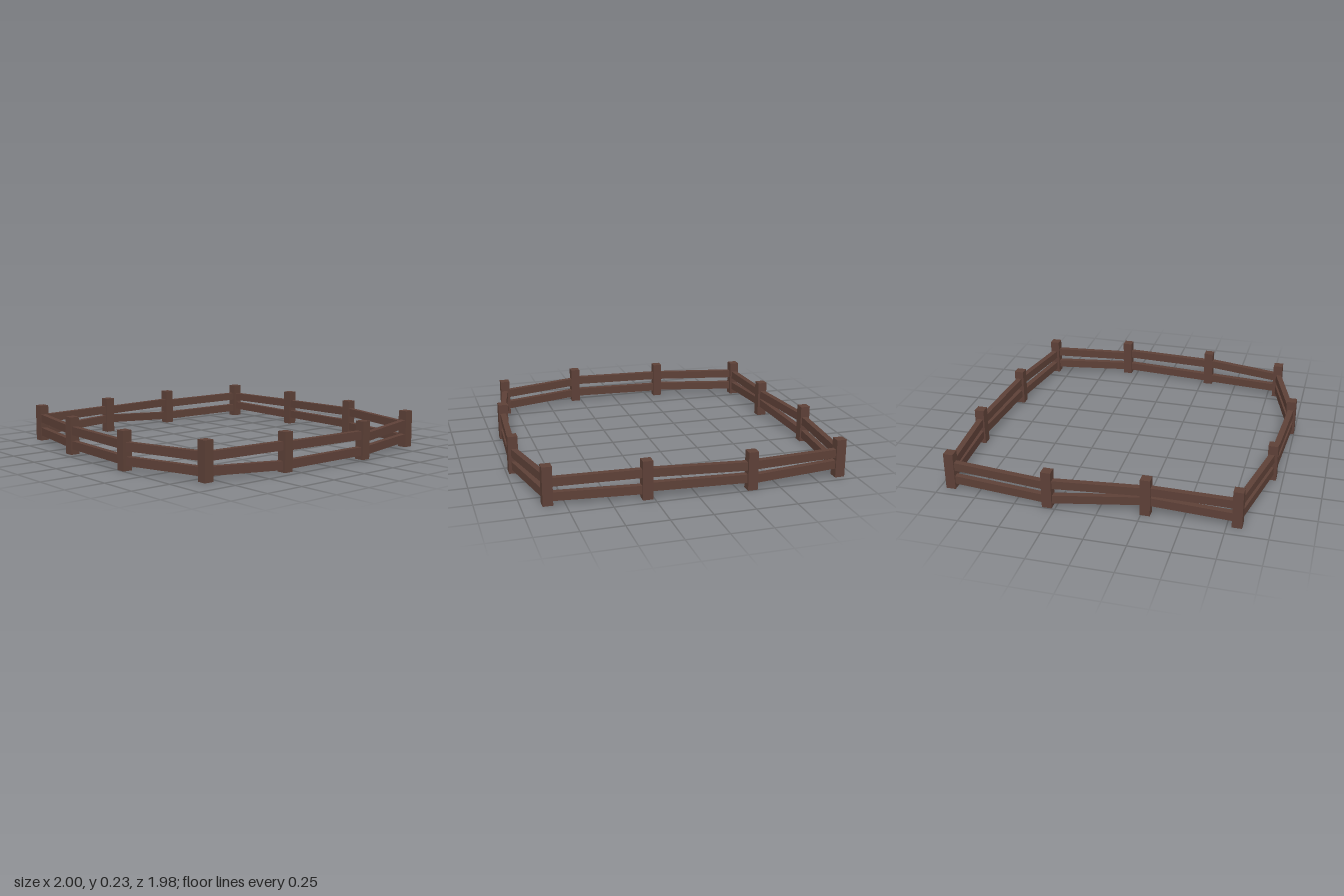
import * as THREE from 'three';

// Post positions (x, z) around the paddock
const POSTS = [
  [-0.81, -0.90], [-0.275, -0.905], [0.30, -0.965], [0.93, -0.905],
  [0.97, -0.33], [0.93, 0.29], [0.855, 0.85], [0.32, 0.955],
  [-0.30, 0.92], [-0.815, 0.83], [-0.97, 0.29], [-0.93, -0.33],
];

// Rail centre heights for the span leaving each post:
// [upper start, upper end, lower start, lower end]
const SPANS = [
  [0.145, 0.155, 0.06, 0.09], [0.15, 0.15, 0.09, 0.05],
  [0.14, 0.15, 0.05, 0.06], [0.148, 0.148, 0.08, 0.063],
  [0.146, 0.158, 0.07, 0.072], [0.158, 0.136, 0.058, 0.05],
  [0.152, 0.13, 0.06, 0.05], [0.15, 0.15, 0.052, 0.042],
  [0.155, 0.142, 0.04, 0.06], [0.142, 0.142, 0.057, 0.057],
  [0.15, 0.15, 0.06, 0.06], [0.15, 0.15, 0.065, 0.06],
];

const POST_W = 0.06, POST_H = 0.235, RAIL_H = 0.052, RAIL_T = 0.036;

export function createModel() {
  const wood = new THREE.MeshStandardMaterial({ color: 0x5d4037 });
  wood.name = 'brown wood';
  const fence = new THREE.Group();
  fence.name = 'fence';

  const postGeo = new THREE.BoxGeometry(POST_W, POST_H, POST_W);
  const railGeo = new THREE.BoxGeometry(RAIL_T, RAIL_H, 1);

  // Box rail stretched between two points
  function addRail(name, a, b) {
    const rail = new THREE.Mesh(railGeo, wood);
    rail.name = name;
    rail.position.copy(a).lerp(b, 0.5);
    rail.lookAt(b);
    rail.scale.z = a.distanceTo(b);
    fence.add(rail);
  }

  POSTS.forEach(([x, z], i) => {
    const post = new THREE.Mesh(postGeo, wood);
    post.name = 'post';
    post.position.set(x, POST_H / 2, z);
    fence.add(post);

    // Two slightly uneven rails to the next post
    const [nx, nz] = POSTS[(i + 1) % POSTS.length];
    const [u0, u1, l0, l1] = SPANS[i];
    addRail('upperRail', new THREE.Vector3(x, u0, z), new THREE.Vector3(nx, u1, nz));
    addRail('lowerRail', new THREE.Vector3(x, l0, z), new THREE.Vector3(nx, l1, nz));
  });

  return fence;
}
